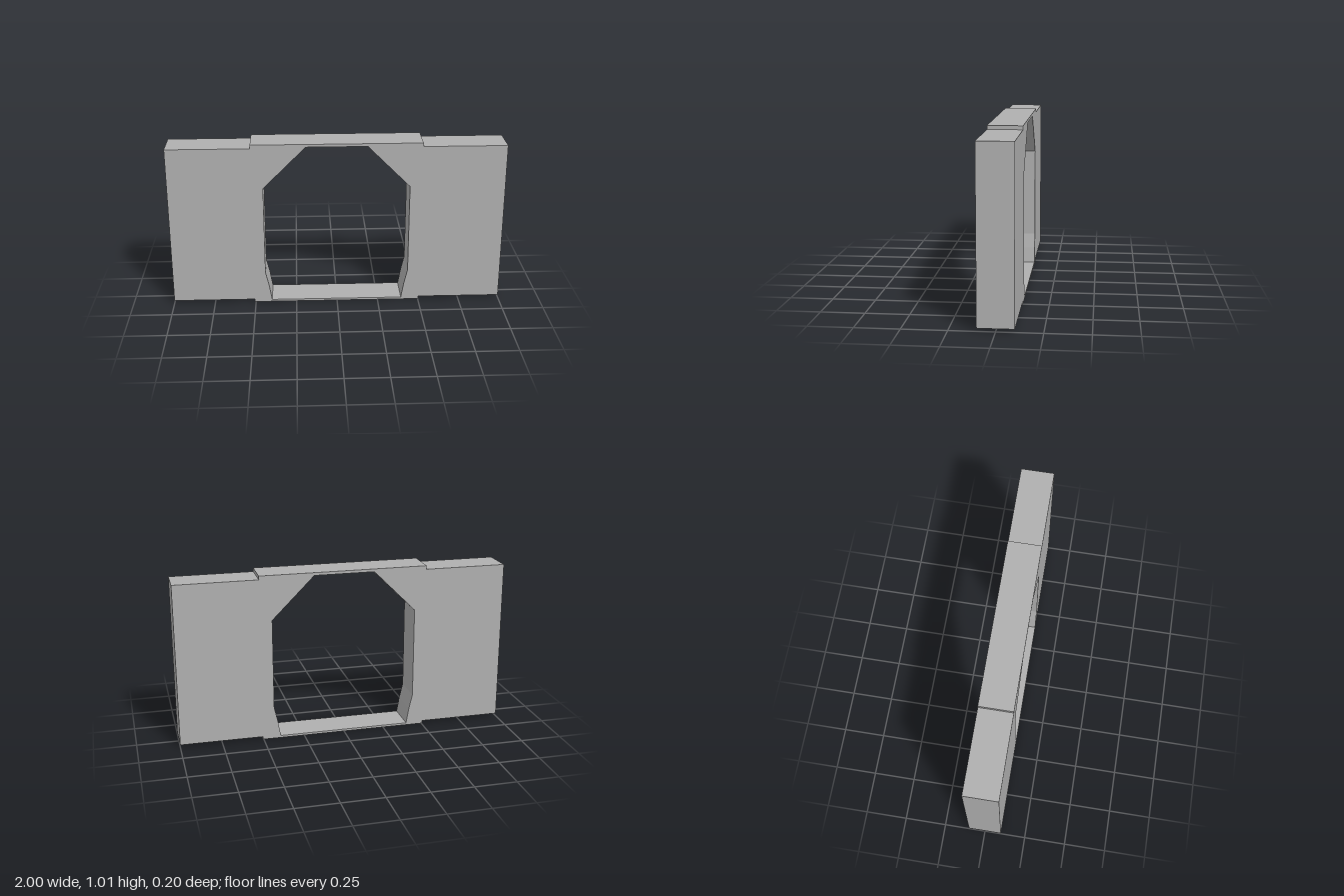
import * as THREE from 'three';

const DEPTH = 0.2;

export function createModel() {
  const group = new THREE.Group();
  group.name = 'wallFrame';

  const grey = new THREE.MeshStandardMaterial({ color: 0xb0b0b0 });
  grey.name = 'grey';

  const toPoints = (list) => list.map(([x, y]) => new THREE.Vector2(x, y));

  // Outer outline: wide panel with a slightly raised middle band, top and bottom
  const outline = new THREE.Shape(toPoints([
    [-1, 0.02], [-0.506, 0.02], [-0.506, 0.003], [0.504, 0.003], [0.504, 0.02], [1, 0.02],
    [1, 0.996], [0.504, 0.996], [0.504, 1.018], [-0.506, 1.018], [-0.506, 0.996], [-1, 0.996],
  ].map(([x, y]) => [x, y - 0.003])));

  // Doorway: chamfered top corners, walls tapering in at the floor
  outline.holes.push(new THREE.Path(toPoints([
    [-0.4, 0.013], [-0.416, 0.107], [-0.437, 0.197], [-0.437, 0.745], [-0.183, 0.998],
    [0.179, 0.998], [0.432, 0.745], [0.432, 0.197], [0.411, 0.107], [0.395, 0.013],
  ])));

  const geometry = new THREE.ExtrudeGeometry(outline, { depth: DEPTH, bevelEnabled: false });
  geometry.translate(0, 0, -DEPTH / 2);

  const panel = new THREE.Mesh(geometry, grey);
  panel.name = 'doorwayPanel';
  group.add(panel);

  return group;
}
